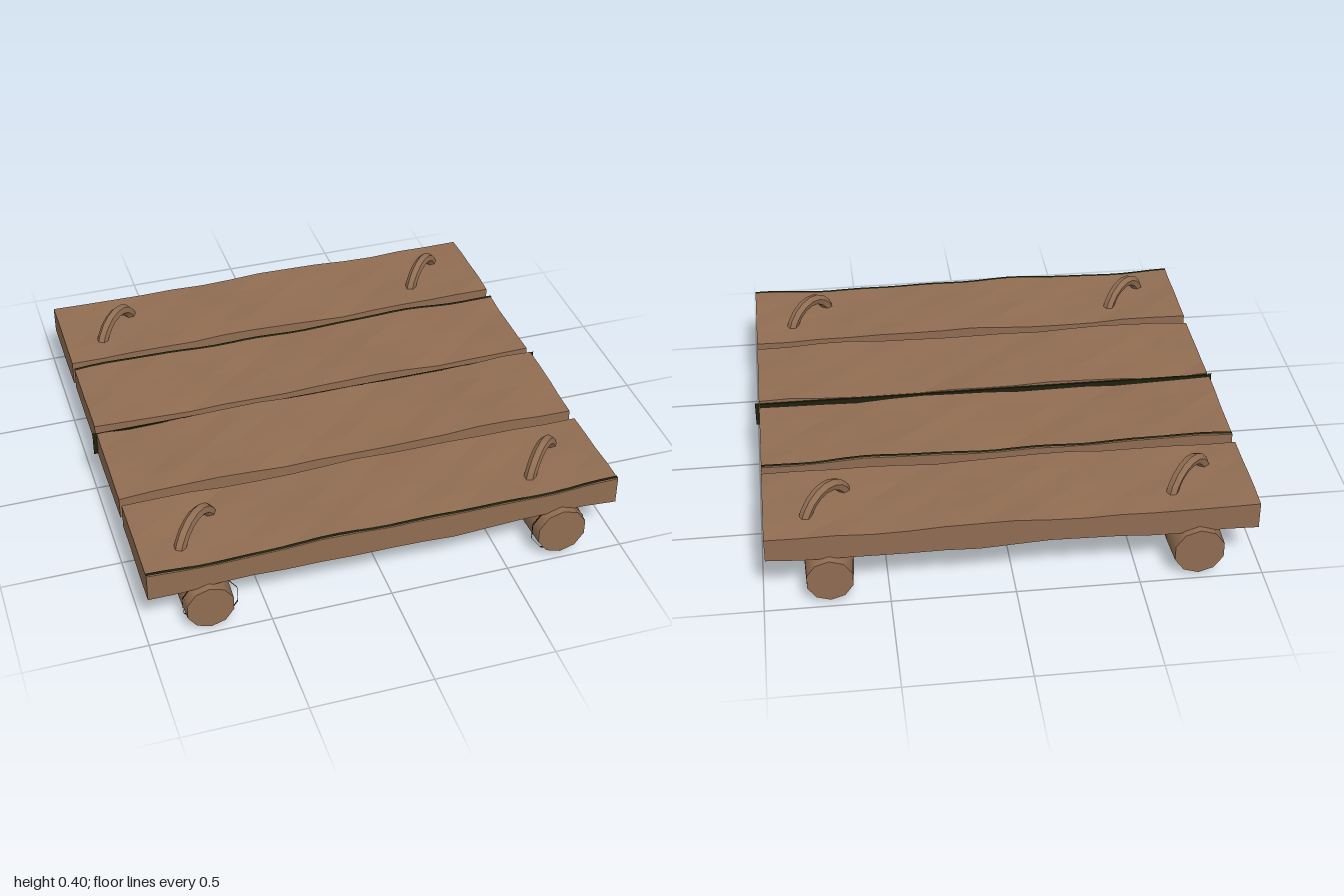
import * as THREE from 'three';
import { toCreasedNormals } from 'three/addons/utils/BufferGeometryUtils.js';

const wood = new THREE.MeshStandardMaterial({ color: 0x906d52 });
wood.name = 'brown wood';
const dark = new THREE.MeshStandardMaterial({ color: 0x1f200d, side: THREE.DoubleSide });
dark.name = 'dark seam';

// Smooth, repeatable waviness in the range of about -1 to 1
const wave = (a, b, seed) =>
  0.5 * Math.sin(a * 5.3 + b * 4 + seed * 2.1) +
  0.3 * Math.sin(a * 9.7 - b * 9 + seed * 4.7) +
  0.2 * Math.sin(a * 17 + b * 23 + seed);

// Moves every vertex of a geometry by a rule
function bend(geo, rule) {
  const p = geo.attributes.position;
  const v = new THREE.Vector3();
  for (let i = 0; i < p.count; i++) {
    v.fromBufferAttribute(p, i);
    rule(v);
    p.setXYZ(i, v.x, v.y, v.z);
  }
  return geo;
}

function add(group, name, geo, material, x = 0, y = 0, z = 0) {
  const mesh = new THREE.Mesh(geo, material);
  mesh.name = name;
  mesh.position.set(x, y, z);
  group.add(mesh);
  return mesh;
}

// Board with hand-hewn, faceted upper and lower faces
function plankGeometry(seed) {
  const geo = bend(new THREE.BoxGeometry(1.965, 0.11, 0.44, 14, 1, 4), (v) => {
    v.y += v.y > 0 ? 0.011 * wave(v.x, v.z, seed) : 0.012 * wave(v.x, v.z, seed + 0.7);
  }).toNonIndexed();
  geo.computeVertexNormals();
  return geo;
}

// Uneven round log lying along z, with slightly rounded ends
function logGeometry(seed) {
  const geo = new THREE.CylinderGeometry(0.108, 0.108, 1.96, 10, 14);
  geo.rotateX(Math.PI / 2);
  bend(geo, (v) => {
    const end = Math.abs(v.z) > 0.97;
    const s = (end ? 0.93 : 1) + 0.05 * Math.sin(v.z * 5 + seed);
    v.x = v.x * s + 0.008 * Math.sin(v.z * 3 + seed * 2);
    v.y = v.y * s + 0.006 * Math.sin(v.z * 4.2 + seed);
  });
  return toCreasedNormals(geo, 0.75);
}

// Rope loop passing through the board and around the log, set diagonally
function ropeGeometry() {
  const points = [];
  for (let i = 0; i < 16; i++) {
    const a = (i / 16) * Math.PI * 2;
    const r = 0.128 * Math.cos(a);
    points.push(new THREE.Vector3(r * 0.73, 0.14 * Math.sin(a), -r * 0.76));
  }
  const curve = new THREE.CatmullRomCurve3(points, true);
  return toCreasedNormals(new THREE.TubeGeometry(curve, 20, 0.025, 6, true), 0.9);
}

export function createModel() {
  const model = new THREE.Group();
  model.name = 'raft';

  // Four deck boards
  [-0.73, -0.24, 0.24, 0.73].forEach((z, i) =>
    add(model, 'plank' + (i + 1), plankGeometry(i * 1.9 + 1), wood, 0, 0.255, z));

  // Two logs underneath with dark bands, and a rope loop at each end
  for (const side of [-1, 1]) {
    const name = side > 0 ? 'left' : 'right';
    add(model, name + 'Log', logGeometry(side + 2), wood, side * 0.735, 0.117, 0);
    for (const z of [0.94, 0.47, 0.015, -0.455])
      add(model, name + 'LogBand', new THREE.CylinderGeometry(0.116, 0.116, 0.008, 10, 1, true)
        .rotateX(Math.PI / 2), dark, side * 0.735, 0.117, z);
    for (const end of [-1, 1])
      add(model, name + (end > 0 ? 'FrontRope' : 'BackRope'), ropeGeometry(), wood,
        side * 0.735, 0.24, end * 0.73);
    // Thin dark slivers at the deck ends
    add(model, name + 'EndSeam', new THREE.PlaneGeometry(0.018, 0.11), dark, side * 0.991, 0.255, 0.015);
  }

  // Dark seams along the board edges, following the waviness
  for (const [z, seed, local] of [[0.942, 3 * 1.9 + 1, 0.212], [-0.452, 1.9 + 1, -0.212]]) {
    const geo = new THREE.PlaneGeometry(1.965, 0.014, 28, 1).rotateX(-Math.PI / 2);
    bend(geo, (v) => { v.y += 0.011 * wave(v.x, local, seed); });
    add(model, 'edgeSeam', geo, dark, 0, 0.314, z);
  }
  add(model, 'middleSeam', new THREE.BoxGeometry(1.96, 0.1, 0.008), dark, 0, 0.255, 0.015);
  return model;
}
